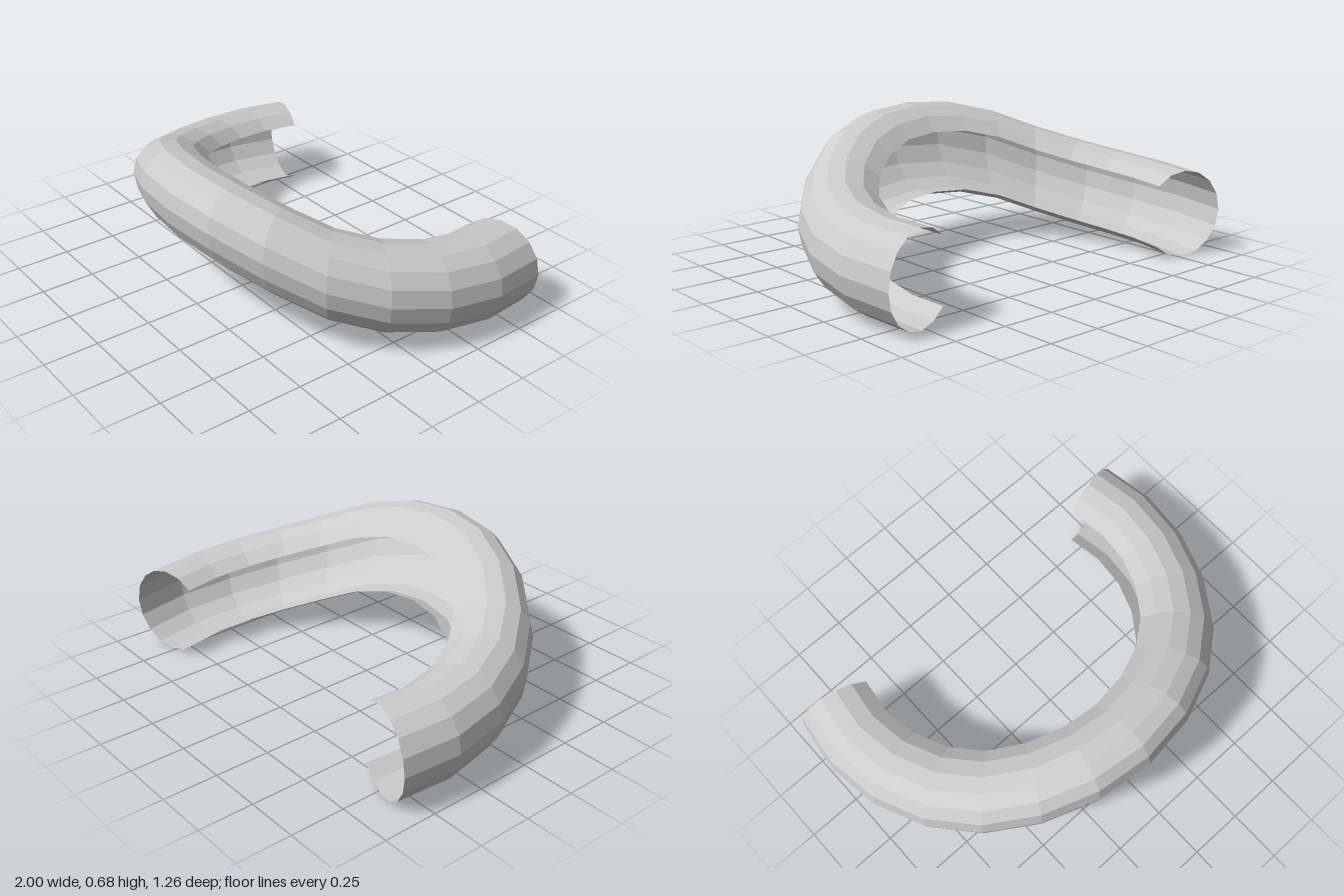
import * as THREE from 'three';

// Rise per unit of radius for each 15 degree step, from the front centre to an end
const RISE = [0.325, 0.308, 0.245, 0.15, 0.08, 0.036, 0.013, 0];
const STEPS = RISE.length - 1;
const SIDES = 12;        // facets around the open C-shaped section
const CENTRE_Z = -0.37;  // centre of the horseshoe arc

// Open C section swept round a 210 degree arc, lifted towards the front
function sweptChannel() {
  const geo = new THREE.PlaneGeometry(1, 1, STEPS * 2, SIDES);
  const pos = geo.attributes.position;
  for (let j = 0; j <= SIDES; j++) {
    // the section runs from the upper inner lip, over the outside, to the lower one
    const a = THREE.MathUtils.degToRad(135 - (270 * j) / SIDES);
    const r = 0.8 + 0.2 * Math.cos(a);
    for (let i = -STEPS; i <= STEPS; i++) {
      const t = THREE.MathUtils.degToRad(15 * i);
      const y = 0.203 + 0.203 * Math.sin(a) + r * RISE[Math.abs(i)];
      pos.setXYZ(j * (2 * STEPS + 1) + i + STEPS, r * Math.sin(t), y, CENTRE_Z + r * Math.cos(t));
    }
  }
  geo.computeVertexNormals();
  return geo;
}

export function createModel() {
  const group = new THREE.Group();
  group.name = 'curvedCollar';
  const material = new THREE.MeshStandardMaterial({
    color: 0xcccccc, flatShading: true, side: THREE.DoubleSide,
  });
  const channel = new THREE.Mesh(sweptChannel(), material);
  channel.name = 'openTube';
  group.add(channel);
  return group;
}
